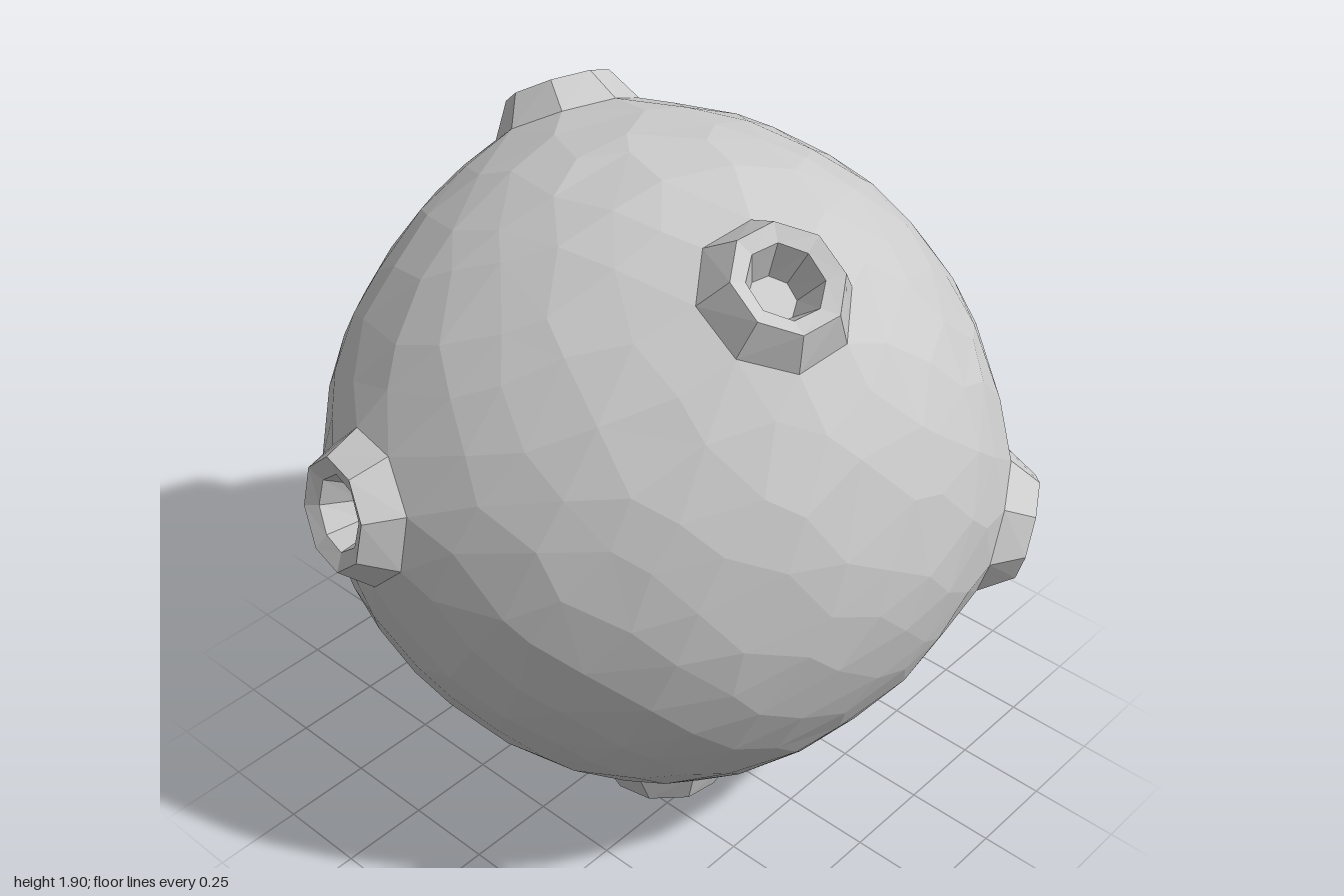
import * as THREE from 'three';
import { ConvexGeometry } from 'three/addons/geometries/ConvexGeometry.js';

// Directions of the seven vents, measured from the centre of the ball
const VENTS = [
  [-0.2, 0.2, 0.97], [-0.2, 0.2, -0.97],
  [-0.56, 0.83, -0.19], [0.56, 0.83, 0.18],
  [0.84, -0.17, -0.57], [-0.83, -0.55, -0.19],
  [0.2, -0.97, 0.2],
].map((v) => new THREE.Vector3(...v).normalize());

// Vent section as [distance from axis, height above the ball's centre]
const SECTION = [[0, 0.89], [0.062, 0.89], [0.099, 0.985], [0.145, 1.003], [0.2, 0.91]];
// The same as [angle, radius], continued by the swell that fades into the ball
const PROFILE = SECTION.map(([d, h]) => [Math.atan2(d, h), Math.hypot(d, h)])
  .concat([[0.36, 0.912], [0.55, 0.903], [0.8, 0.892]]);
const SIDES = 8;

function seeded(seed) {
  return () => {
    seed = (seed * 16807) % 2147483647;
    return seed / 2147483647;
  };
}

const angleToVent = (dir) => Math.min(...VENTS.map((v) => v.angleTo(dir)));

// Radius of the surface at a given angle from the nearest vent
function radiusAt(angle) {
  for (let i = 1; i < PROFILE.length; i++) {
    const [a0, r0] = PROFILE[i - 1];
    const [a1, r1] = PROFILE[i];
    if (angle <= a1) return THREE.MathUtils.mapLinear(angle, a0, a1, r0, r1);
  }
  return PROFILE[PROFILE.length - 1][1];
}

// Rings of points around each vent, on the unit sphere
function ventPoints() {
  const points = [];
  const up = new THREE.Vector3(0, 1, 0);
  VENTS.forEach((axis, n) => {
    const turn = new THREE.Quaternion().setFromUnitVectors(up, axis);
    points.push(axis.clone());
    for (let ring = 1; ring < SECTION.length; ring++) {
      for (let s = 0; s < SIDES; s++) {
        const theta = (s / SIDES) * Math.PI * 2 + ring * 0.05 + n * 0.3;
        points.push(new THREE.Vector3().setFromSphericalCoords(1, PROFILE[ring][0], theta).applyQuaternion(turn));
      }
    }
  });
  return points;
}

// Uneven scatter over the rest of the ball
function ballPoints(count) {
  const random = seeded(42);
  const points = [];
  for (let i = 0; i < count; i++) {
    const y = 1 - (2 * (i + 0.5)) / count;
    const dir = new THREE.Vector3().setFromSphericalCoords(1, Math.acos(y), i * 2.399963);
    dir.add(new THREE.Vector3(random() - 0.5, random() - 0.5, random() - 0.5).multiplyScalar(0.08)).normalize();
    if (angleToVent(dir) > 0.31) points.push(dir);
  }
  return points;
}

export function createModel() {
  // Facet the unit sphere, then raise rims and sink holes by the vent profile
  const geometry = new ConvexGeometry([...ventPoints(), ...ballPoints(420)]);
  const pos = geometry.attributes.position;
  const p = new THREE.Vector3();
  for (let i = 0; i < pos.count; i++) {
    p.fromBufferAttribute(pos, i).normalize();
    p.multiplyScalar(radiusAt(angleToVent(p)));
    pos.setXYZ(i, p.x, p.y, p.z);
  }
  geometry.computeVertexNormals();

  const body = new THREE.Mesh(
    geometry,
    new THREE.MeshStandardMaterial({ color: 0xcccccc, flatShading: true }),
  );
  body.name = 'ballWithVents';
  body.position.y = 1;

  const group = new THREE.Group();
  group.name = 'ventedBall';
  group.add(body);
  return group;
}
